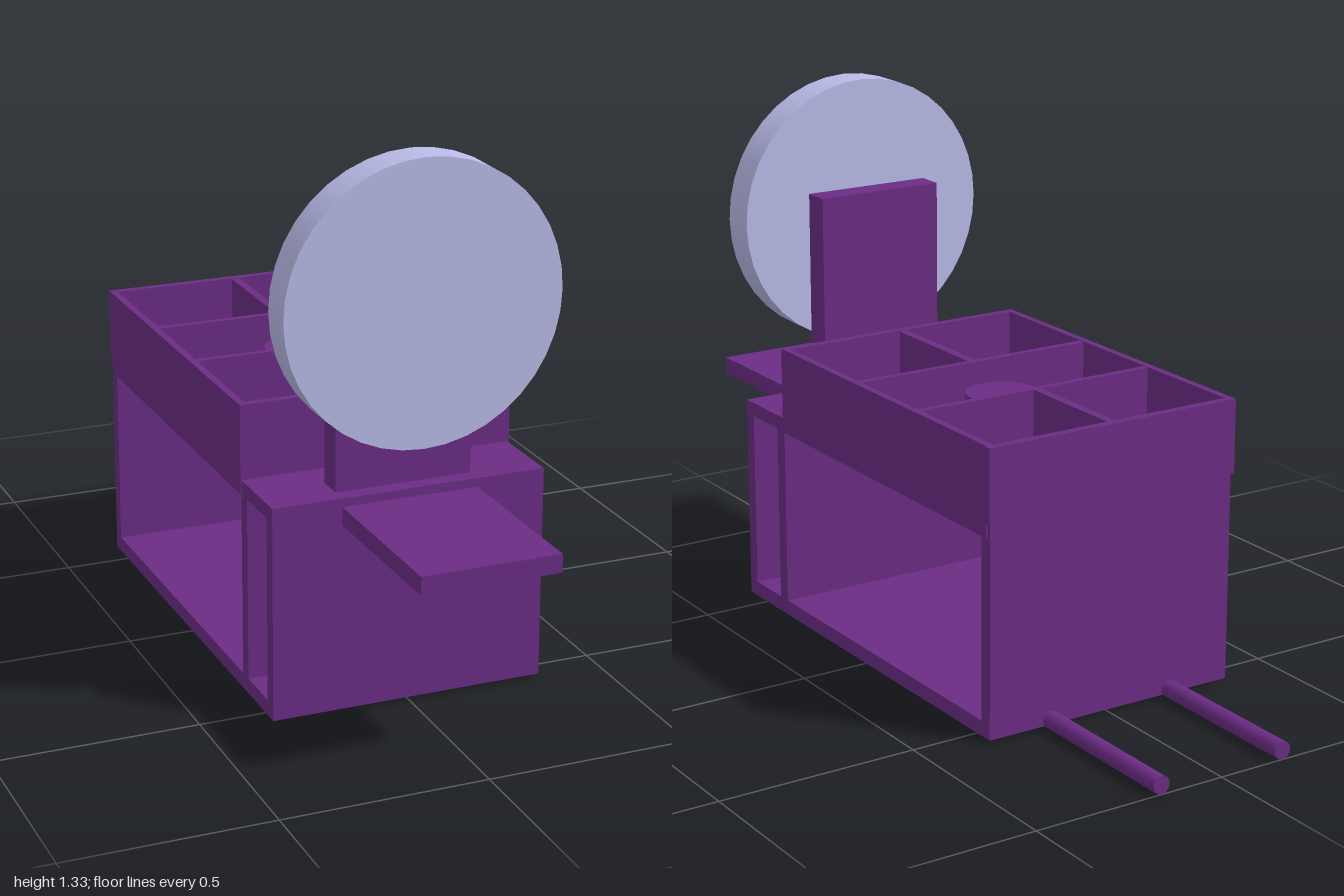
import * as THREE from 'three';

export function createModel() {
  const group = new THREE.Group();
  const purple = new THREE.MeshStandardMaterial({ color: 0x6b2c84 });
  const lavender = new THREE.MeshStandardMaterial({ color: 0xb9bbe8 });
  const C = -0.003; // centre line of the body

  // box given by its minimum and maximum on each axis
  const box = (name, x0, x1, y0, y1, z0, z1) => {
    const mesh = new THREE.Mesh(new THREE.BoxGeometry(x1 - x0, y1 - y0, z1 - z0), purple);
    mesh.position.set((x0 + x1) / 2, (y0 + y1) / 2, (z0 + z1) / 2);
    mesh.name = name;
    group.add(mesh);
  };
  const disc = (name, r, len, sides, mat, x, y, z, alongZ) => {
    const mesh = new THREE.Mesh(new THREE.CylinderGeometry(r, r, len, sides), mat);
    if (alongZ) mesh.rotation.x = Math.PI / 2;
    mesh.position.set(x, y, z);
    mesh.name = name;
    group.add(mesh);
  };

  // lower case, open at both sides
  const L = -0.343, R = 0.337;
  box('bottomBoard', L, R, 0.01, 0.048, -0.57, 0.565);
  box('frontPanel', L, R, 0.048, 0.5, 0.53, 0.565);
  box('partition', L, R, 0.048, 0.5, 0.37, 0.406);
  box('backPanel', L, R, 0.048, 0.5, -0.57, -0.535);
  box('topBoard', L, R, 0.5, 0.535, -0.57, 0.565);

  // divided tray on top
  box('trayRightWall', -0.345, -0.327, 0.5, 0.718, -0.56, 0.37);
  box('trayLeftWall', 0.323, 0.341, 0.5, 0.718, -0.56, 0.37);
  box('trayFrontWall', -0.327, 0.323, 0.535, 0.718, 0.35, 0.37);
  box('trayBackWall', -0.345, 0.345, 0.535, 0.718, -0.58, -0.56);
  for (const z of [-0.256, 0.015]) box('crossDivider', -0.327, 0.323, 0.535, 0.716, z, z + 0.018);
  for (const [z0, z1] of [[-0.56, -0.256], [0.033, 0.35]])
    box('middleDivider', C - 0.011, C + 0.011, 0.535, 0.716, z0, z1);
  disc('trayKnob', 0.09, 0.135, 32, purple, C, 0.6025, -0.107, false);

  // front shelf, upright post and round plate
  box('frontShelf', -0.172, 0.166, 0.47, 0.514, 0.535, 1);
  box('uprightPost', -0.172, 0.166, 0.493, 1.06, 0.457, 0.525);
  disc('roundPlate', 0.339, 0.09, 40, lavender, C, 0.994, 0.59, true);

  // pair of rods at the back
  for (const s of [-1, 1]) disc('rearRod', 0.022, 0.455, 16, purple, C + s * 0.17, 0.023, -0.7725, true);

  return group;
}
